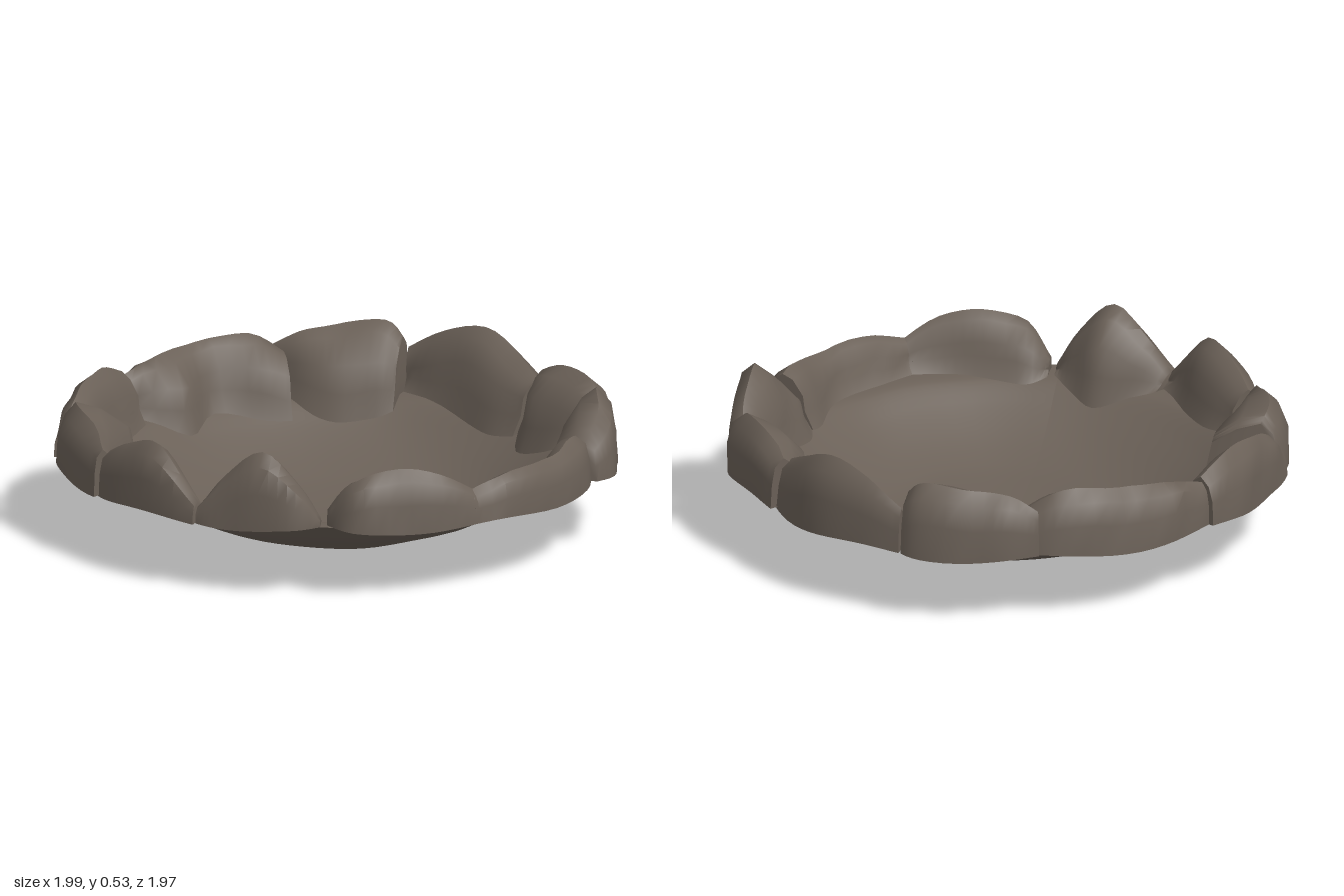
import * as THREE from 'three';
import { toCreasedNormals } from 'three/addons/utils/BufferGeometryUtils.js';

// Bowl profile: radius, height
const PROFILE = [[0, 0.004], [0.2, 0.014], [0.4, 0.04], [0.5, 0.07], [0.6, 0.116], [0.7, 0.175], [0.78, 0.23], [0.83, 0.252], [0.93, 0.258]];

function bowlHeight(r) {
  for (let i = 1; i < PROFILE.length; i++) {
    const [r0, y0] = PROFILE[i - 1], [r1, y1] = PROFILE[i];
    if (r <= r1) return y0 + (y1 - y0) * (r - r0) / (r1 - r0);
  }
  return 0.258;
}

// Smooth, repeatable unevenness
const bump = (x, z) => Math.sin(7.1 * x + 2.3 * z) * Math.cos(6.3 * z - 3.1 * x) + 0.5 * Math.sin(15 * x - 11 * z + 1);

// Rim stones: cross-sections as [angle in degrees from +x towards +z, inner radius, outer radius, top]
const STONES = {
  frontStone: [[89, 0.85, 0.93, 0.28], [94, 0.79, 0.98, 0.41], [102, 0.74, 0.98, 0.52], [111, 0.8, 0.97, 0.42], [116.5, 0.85, 0.96, 0.31]],
  frontLeftStone: [[54, 0.9, 1.0, 0.36], [63, 0.87, 1.0, 0.44], [72, 0.83, 0.99, 0.465], [82, 0.8, 0.99, 0.42], [87.5, 0.84, 0.9, 0.31]],
  leftFrontStone: [[15, 0.79, 0.95, 0.42], [20, 0.79, 0.97, 0.43], [30, 0.84, 0.98, 0.41], [45, 0.86, 1.0, 0.41], [56, 0.9, 1.0, 0.37]],
  leftStone: [[-14, 0.87, 0.97, 0.38], [-8, 0.83, 0.99, 0.47], [1, 0.79, 0.99, 0.535], [10, 0.77, 1.01, 0.45], [14.5, 0.79, 0.97, 0.37]],
  leftBackStone: [[-41, 0.82, 0.95, 0.43], [-32, 0.73, 0.96, 0.48], [-20, 0.78, 0.99, 0.48], [-13, 0.87, 0.98, 0.41]],
  backLeftStone: [[-79, 0.9, 0.97, 0.41], [-70, 0.84, 0.97, 0.49], [-59, 0.78, 0.97, 0.53], [-48, 0.75, 0.95, 0.47], [-39, 0.77, 0.92, 0.41]],
  backStone: [[-109, 0.9, 0.95, 0.42], [-103, 0.78, 0.97, 0.47], [-95, 0.73, 0.98, 0.49], [-84, 0.75, 0.99, 0.51], [-79.5, 0.78, 0.97, 0.46]],
  backRightStone: [[-151, 0.88, 0.95, 0.41], [-140, 0.74, 0.97, 0.45], [-128, 0.8, 0.97, 0.47], [-115, 0.75, 0.96, 0.48], [-107, 0.74, 0.93, 0.41]],
  rightStone: [[-184, 0.9, 0.995, 0.37], [-180, 0.85, 0.99, 0.43], [-172, 0.82, 0.97, 0.47], [-160, 0.81, 0.98, 0.48], [-150.5, 0.83, 0.97, 0.43]],
  rightFrontStone: [[-213, 0.88, 0.97, 0.41], [-200, 0.76, 0.98, 0.475], [-189, 0.7, 0.99, 0.48], [-184.5, 0.69, 0.97, 0.44]],
  frontRightStone: [[116.5, 0.89, 0.98, 0.32], [128, 0.82, 0.98, 0.49], [139, 0.8, 0.97, 0.46], [147.5, 0.83, 0.95, 0.4]],
};

// Thin dished shell with a slightly uneven surface
function bowlGeometry() {
  const curve = new THREE.SplineCurve(PROFILE.map(([r, y]) => new THREE.Vector2(r, y)));
  const geo = new THREE.LatheGeometry(curve.getPoints(24), 64);
  const pos = geo.attributes.position;
  for (let i = 0; i < pos.count; i++) {
    const x = pos.getX(i), z = pos.getZ(i);
    pos.setY(i, Math.max(0, pos.getY(i) + 0.004 * bump(x, z)));
  }
  geo.computeVertexNormals();
  return geo;
}

// A hollow boulder, open below, swept around the rim through its cross-sections
function stoneGeometry(stations) {
  const steps = (stations.length - 1) * 4;
  const path = new THREE.SplineCurve(stations.map(([a, ri]) => new THREE.Vector2(a, ri)));
  const size = new THREE.SplineCurve(stations.map(([, , ro, top]) => new THREE.Vector2(ro, top)));
  const verts = [], index = [];
  let n = 0;
  for (let k = 0; k <= steps; k++) {
    const { x: degrees, y: ri } = path.getPoint(k / steps);
    const { x: ro, y: top } = size.getPoint(k / steps);
    const a = THREE.MathUtils.degToRad(degrees);
    const base = 0.25 + 0.01 * Math.sin(9 * a);
    const w = ro - ri, h = top - base, inner = bowlHeight(ri);
    const crest = Math.min(0.07, 0.4 * w);
    const foot = ri - 0.02, seat = Math.min(ro - 0.02, Math.max(ri, 0.85));
    const section = [
      [ro, base],
      [ro - 0.08 * crest, base + 0.48 * h],
      [ro - 0.35 * crest, base + 0.83 * h],
      [ro - crest, top],
      [ro - crest - 0.4 * (w - crest), top - 0.12 * h],
      [ri + 0.12 * w, base + 0.56 * h],
      [ri + 0.01, inner + 0.3 * (top - inner)],
      [foot, bowlHeight(foot) + 0.006],
      [seat, bowlHeight(seat) + 0.006],
    ];
    n = section.length;
    section.forEach(([r, y], j) => {
      const d = j > 0 && j < n - 2 ? 0.006 * bump(2 * r * Math.cos(a) + y, 2 * r * Math.sin(a) - y) : 0;
      verts.push((r + d) * Math.cos(a), y + (j === 3 ? 0 : d), (r + d) * Math.sin(a));
    });
  }
  // Outer wall, top and inner slope
  for (let k = 0; k < steps; k++) {
    for (let j = 0; j < n - 2; j++) {
      const a = k * n + j, b = a + 1;
      index.push(a, b, a + n, b, b + n, a + n);
    }
  }
  // End caps, fanned from the crest
  const last = steps * n;
  for (let j = 1; j < n - 1; j++) {
    const p = (3 + j) % n, q = (4 + j) % n;
    index.push(3, q, p, last + 3, last + p, last + q);
  }
  const geo = new THREE.BufferGeometry();
  geo.setAttribute('position', new THREE.Float32BufferAttribute(verts, 3));
  geo.setIndex(index);
  return toCreasedNormals(geo, 0.9);
}

export function createModel() {
  const model = new THREE.Group();
  model.name = 'stoneBowl';
  const stone = new THREE.MeshStandardMaterial({ color: 0x6a6057, side: THREE.DoubleSide });
  stone.name = 'brownGreyStone';

  const add = (name, geometry) => {
    const mesh = new THREE.Mesh(geometry, stone);
    mesh.name = name;
    model.add(mesh);
  };
  add('bowl', bowlGeometry());
  for (const [name, stations] of Object.entries(STONES)) add(name, stoneGeometry(stations));
  return model;
}
